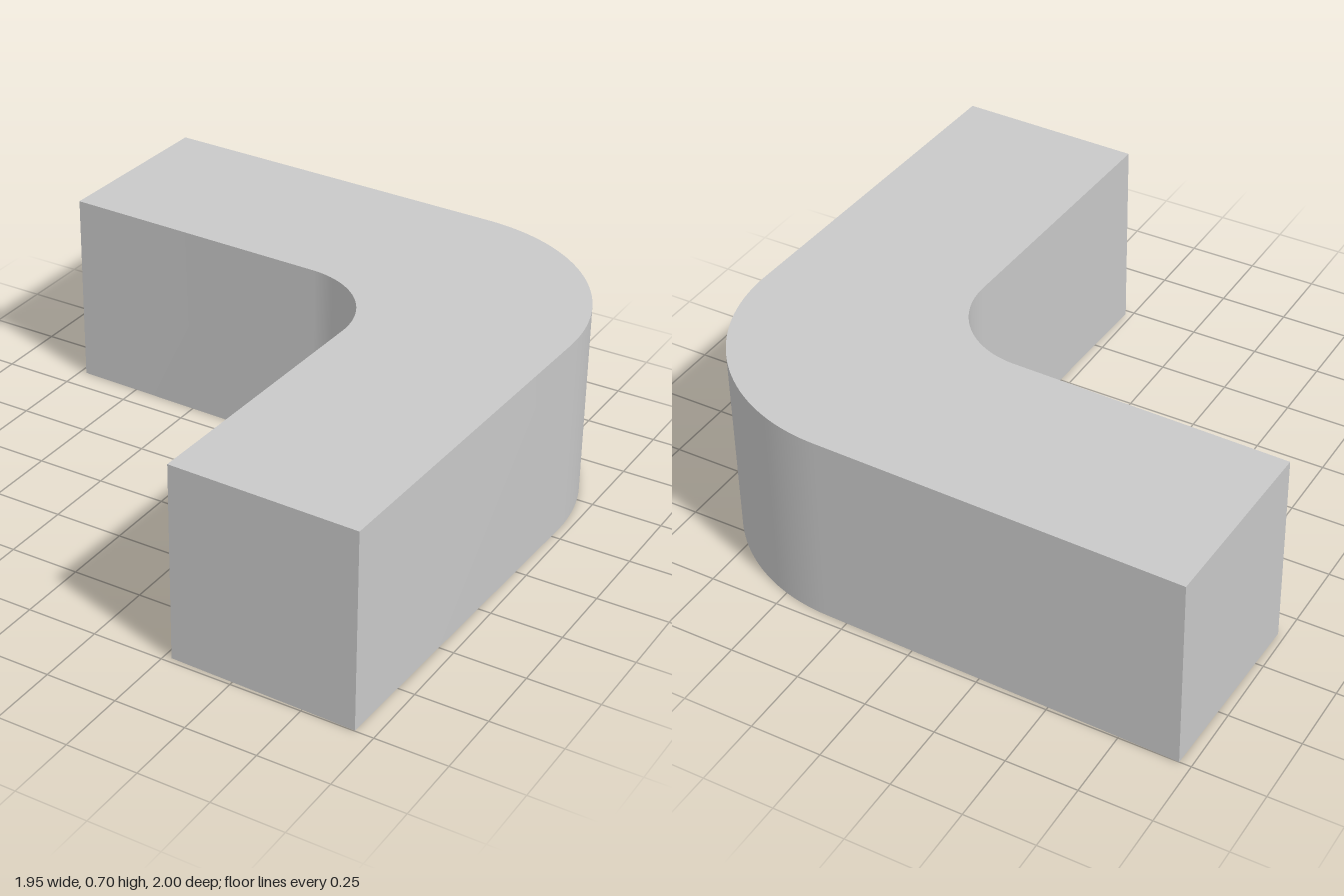
import * as THREE from 'three';
import { mergeGeometries, toCreasedNormals } from 'three/addons/utils/BufferGeometryUtils.js';

const HEIGHT = 0.7;
const WALL = 0.035;
const TURN = 0.0262; // slight turn of the whole elbow

// L-shaped plan with rounded bend, inset by t from the outer faces
function elbowShape(t) {
  const s = new THREE.Shape();
  s.moveTo(-0.985 + t, 0.975 - t);
  s.lineTo(0.305, 0.975 - t);
  s.absarc(0.305, 0.319, 0.656 - t, Math.PI / 2, 0, true);
  s.lineTo(0.961 - t, -0.973 + t);
  s.lineTo(0.301 + t, -0.973 + t);
  s.lineTo(0.301 + t, 0.006);
  s.absarc(-0.008, 0.006, 0.309 + t, 0, Math.PI / 2, false);
  s.lineTo(-0.985 + t, 0.315 + t);
  s.closePath();
  return s;
}

// Horizontal face at height y, facing up or down
function plate(shape, y, down) {
  const g = new THREE.ShapeGeometry(shape, 24).rotateX(-Math.PI / 2).translate(0, y, 0);
  if (down) {
    g.setIndex(Array.from(g.index.array).reverse());
    g.computeVertexNormals();
  }
  g.deleteAttribute('uv');
  return g.toNonIndexed();
}

// Vertical wall following the plan, facing outward or into the hollow
function band(shape, top, inward) {
  const pts = shape.getPoints(24);
  const pos = [];
  pts.forEach((p, i) => {
    const q = pts[(i + 1) % pts.length];
    if (p.distanceTo(q) < 1e-5) return;
    const a = [p.x, 0, -p.y], b = [p.x, top, -p.y];
    const c = [q.x, 0, -q.y], d = [q.x, top, -q.y];
    const tris = inward ? [a, c, b, c, d, b] : [a, b, c, c, b, d];
    pos.push(...tris.flat());
  });
  const g = new THREE.BufferGeometry();
  g.setAttribute('position', new THREE.Float32BufferAttribute(pos, 3));
  return toCreasedNormals(g, 0.5);
}

export function createModel() {
  const grey = new THREE.MeshStandardMaterial({ color: 0xc8c8c8 });
  grey.name = 'light grey';

  const outer = elbowShape(0);
  const inner = elbowShape(WALL);
  const rim = elbowShape(0);
  rim.holes.push(inner);

  const model = new THREE.Group();
  model.name = 'elbowCover';
  const add = (name, parts) => {
    const mesh = new THREE.Mesh(mergeGeometries(parts), grey);
    mesh.name = name;
    model.add(mesh);
  };

  // Closed outside
  add('outerShell', [band(outer, HEIGHT, false), plate(outer, HEIGHT, false)]);
  // Hollow open at the bottom
  add('innerHollow', [band(inner, HEIGHT - WALL, true), plate(inner, HEIGHT - WALL, true)]);
  // Bottom edge of the walls
  add('bottomRim', [plate(rim, 0, true)]);

  model.rotation.y = -TURN;
  return model;
}
